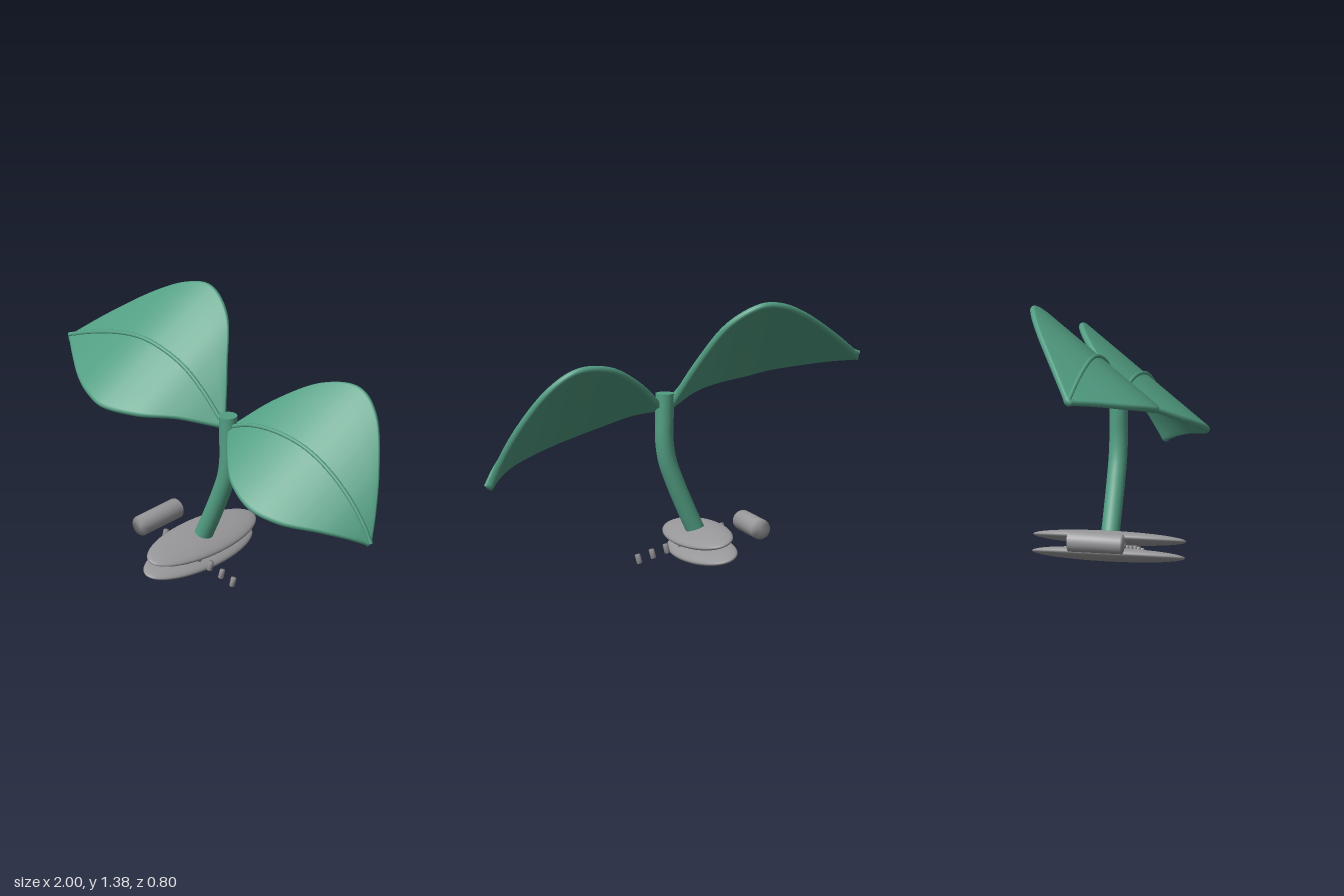
import * as THREE from 'three';
import { mergeVertices } from 'three/addons/utils/BufferGeometryUtils.js';

const V = (x, y, z = 0) => new THREE.Vector3(x, y, z);
const TILT = -0.26; // lean of the base parts
const ACROSS = V(0.215, 0.69, -1); // leaf width direction per unit of depth
const HALF = 0.018; // half thickness of a leaf

// Cylinder whose caps share smooth normals with the side
function softCylinder(r, h) {
  const g = new THREE.CylinderGeometry(r, r, h, 24);
  g.deleteAttribute('uv');
  g.deleteAttribute('normal');
  const m = mergeVertices(g);
  m.computeVertexNormals();
  return m;
}

// Joins equal-sized closed rings of points and closes both ends
function loft(rings) {
  const n = rings[0].length, pos = [], idx = [];
  rings.forEach(r => r.forEach(p => pos.push(p.x, p.y, p.z)));
  for (let i = 0; i < rings.length - 1; i++)
    for (let j = 0; j < n; j++) {
      const a = i * n + j, b = i * n + (j + 1) % n;
      idx.push(a, b, a + n, b, b + n, a + n);
    }
  [0, rings.length - 1].forEach(i => {
    const c = pos.length / 3, mid = V(0, 0);
    rings[i].forEach(p => mid.addScaledVector(p, 1 / n));
    pos.push(mid.x, mid.y, mid.z);
    for (let j = 0; j < n; j++) {
      const a = i * n + j, b = i * n + (j + 1) % n;
      if (i === 0) idx.push(c, b, a); else idx.push(c, a, b);
    }
  });
  const g = new THREE.BufferGeometry();
  g.setAttribute('position', new THREE.Float32BufferAttribute(pos, 3));
  g.setIndex(idx);
  g.computeVertexNormals();
  return g;
}

// Stations are [x, y, half width], running from -x to +x
function makeLeaf(stations, name, green) {
  const curve = new THREE.CatmullRomCurve3(stations.map(s => V(s[0], s[1])));
  const widths = new THREE.CatmullRomCurve3(stations.map(s => V(s[0], s[2])));
  const D = ACROSS.clone().normalize();
  const rings = [], rib = [], N = 56;
  for (let i = 0; i <= N; i++) {
    const t = i / N, c = curve.getPoint(t);
    const up = curve.getTangent(t).cross(D).normalize();
    const flat = Math.max(widths.getPoint(t).y * ACROSS.length() - HALF, 0.003);
    const ring = [];
    const add = (s, h) => ring.push(c.clone().addScaledVector(D, s).addScaledVector(up, h));
    // straight face, then a round edge, once per side
    [1, -1].forEach(side => {
      for (let k = 0; k < 6; k++) add(side * flat * (-1 + k / 3), side * HALF);
      for (let k = 0; k < 6; k++) {
        const a = k / 6 * Math.PI;
        add(side * (flat + HALF * Math.sin(a)), side * HALF * Math.cos(a));
      }
    });
    rings.push(ring.reverse());
    rib.push(c.clone().addScaledVector(up, HALF + 0.002));
  }
  const leaf = new THREE.Group();
  leaf.name = name;
  const blade = new THREE.Mesh(loft(rings), green);
  blade.name = name + 'Blade';
  const tube = new THREE.TubeGeometry(new THREE.CatmullRomCurve3(rib), 56, 0.011, 10);
  const midrib = new THREE.Mesh(tube, green);
  midrib.name = name + 'Midrib';
  leaf.add(blade, midrib);
  return leaf;
}

export function createModel() {
  const model = new THREE.Group();
  model.name = 'sprout';
  const green = new THREE.MeshStandardMaterial({ color: 0x529e83 });
  green.name = 'leaf green';
  const grey = new THREE.MeshStandardMaterial({ color: 0x98989b });
  grey.name = 'metal grey';
  const add = (geo, mat, name, x = 0, y = 0, z = 0) => {
    const m = new THREE.Mesh(geo, mat);
    m.name = name;
    m.position.set(x, y, z);
    model.add(m);
    return m;
  };

  // Bent stem with a flat top
  const path = new THREE.CatmullRomCurve3([
    V(-0.13, 0.16), V(-0.075, 0.28), V(-0.015, 0.42), V(0.028, 0.54),
    V(0.044, 0.65), V(0.043, 0.76), V(0.041, 0.885)]);
  add(new THREE.TubeGeometry(path, 40, 0.047, 24), green, 'stem');
  add(new THREE.CircleGeometry(0.047, 24), green, 'stemTop', 0.041, 0.885).rotation.x = -Math.PI / 2;

  // Pair of leaves
  model.add(makeLeaf([
    [-0.99, 1.015, 0.012], [-0.85, 1.07, 0.125], [-0.68, 1.12, 0.25], [-0.55, 1.14, 0.318],
    [-0.43, 1.13, 0.345], [-0.26, 1.07, 0.285], [-0.13, 0.97, 0.16], [0.01, 0.82, 0.015]],
  'rightLeaf', green));
  model.add(makeLeaf([
    [0.065, 0.815, 0.022], [0.2, 0.865, 0.155], [0.36, 0.88, 0.285], [0.55, 0.85, 0.348],
    [0.7, 0.775, 0.308], [0.84, 0.655, 0.19], [0.925, 0.545, 0.09], [0.975, 0.45, 0.012]],
  'leftLeaf', green));

  // Two flattened oval discs
  [['upperDisc', -0.134, 0.155], ['lowerDisc', -0.158, 0.074]].forEach(([name, x, y]) => {
    const disc = add(new THREE.SphereGeometry(1, 48, 24), grey, name, x, y);
    disc.scale.set(0.136, 0.035, 0.398);
    disc.rotation.z = TILT;
  });

  // Rod lying behind the discs
  add(softCylinder(0.052, 0.278), grey, 'rod', -0.42, 0.185).rotation.x = Math.PI / 2;

  // Row of small pegs
  for (let i = 0; i < 7; i++)
    add(softCylinder(0.014, 0.046), grey, 'peg', -0.294 + i * 0.074, 0.162 - i * 0.0225, 0.092).rotation.z = TILT;

  return model;
}
